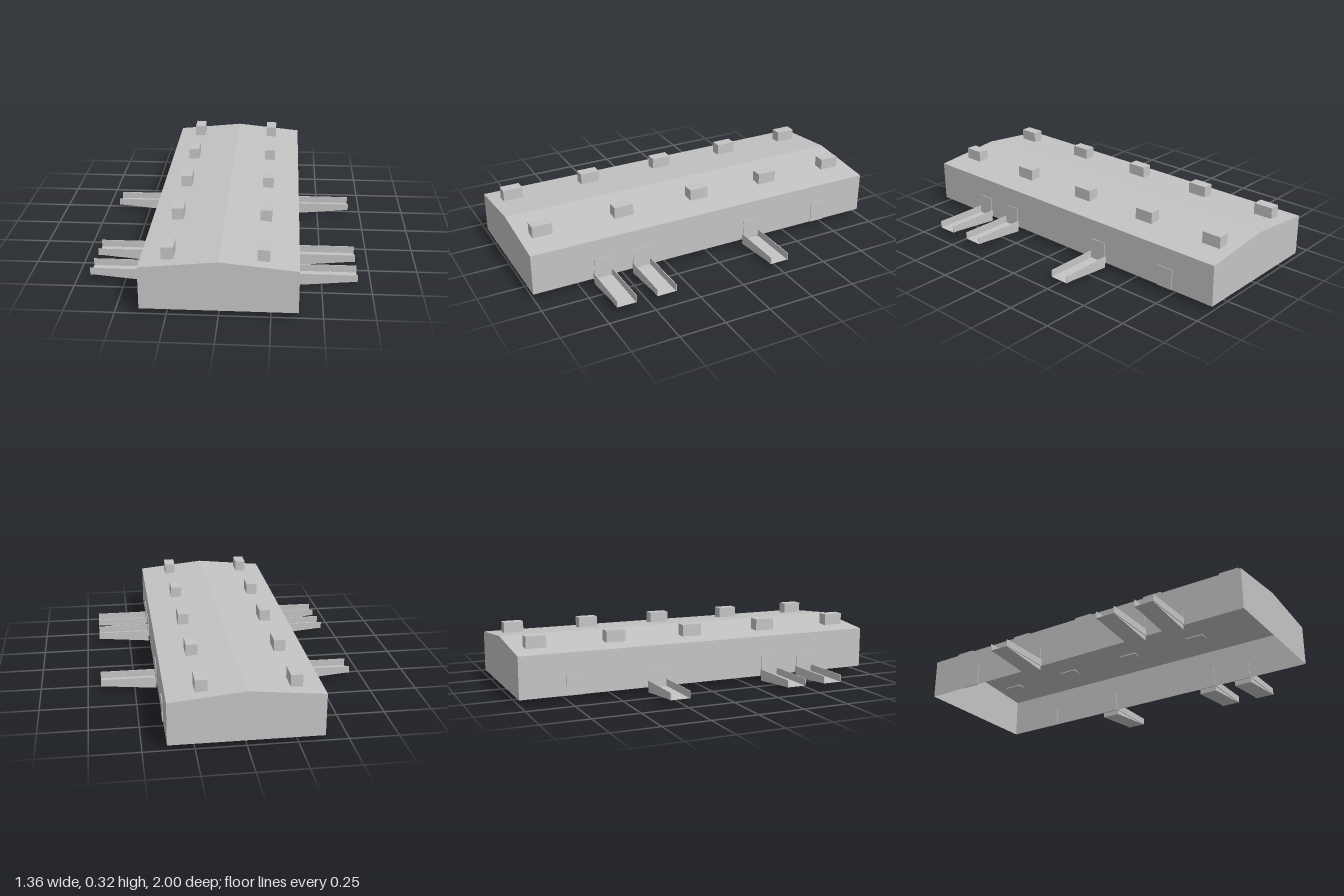
import * as THREE from 'three';

const HALF_W = 0.382, HALF_L = 1, BASE = 0.027, EAVE = 0.247, RIDGE = 0.285;

export function createModel() {
  const model = new THREE.Group();
  const grey = new THREE.MeshStandardMaterial({ color: 0xc4c4c4, side: THREE.DoubleSide });
  grey.name = 'light grey';

  const add = (parent, name, geometry, x = 0, y = 0, z = 0) => {
    const mesh = new THREE.Mesh(geometry, grey);
    mesh.name = name;
    mesh.position.set(x, y, z);
    parent.add(mesh);
    return mesh;
  };

  // Flat strip between two profile points, running the length of the hall
  const strip = ([x0, y0], [x1, y1]) => {
    const g = new THREE.BufferGeometry();
    g.setAttribute('position', new THREE.Float32BufferAttribute([
      x0, y0, HALF_L, x1, y1, HALF_L, x1, y1, -HALF_L, x0, y0, -HALF_L], 3));
    g.setIndex([0, 1, 2, 0, 2, 3]);
    g.computeVertexNormals();
    return g;
  };

  // Hollow hall, open underneath
  const profile = [[HALF_W, BASE], [HALF_W, EAVE], [0, RIDGE], [-HALF_W, EAVE], [-HALF_W, BASE]];
  const names = ['leftWall', 'leftRoof', 'rightRoof', 'rightWall'];
  names.forEach((name, i) => {
    // profile runs anticlockwise, so the strip is wound to face outward
    add(model, name, strip(profile[i + 1], profile[i]).toNonIndexed());
    const mesh = model.children[model.children.length - 1];
    const n = mesh.geometry.attributes.normal;
    const [a, b] = [profile[i], profile[i + 1]];
    const outward = n.getX(0) * (b[1] - a[1]) - n.getY(0) * (b[0] - a[0]);
    if (outward < 0) mesh.geometry = strip(a, b);
  });
  const gable = new THREE.ShapeGeometry(new THREE.Shape(profile.map(p => new THREE.Vector2(...p))));
  add(model, 'frontGable', gable, 0, 0, HALF_L);
  add(model, 'backGable', gable, 0, 0, -HALF_L).rotation.y = Math.PI;

  // Roof vents in two rows
  const vent = new THREE.BoxGeometry(0.06, 0.063, 0.107);
  for (const x of [-0.247, 0.211])
    for (const z of [-0.878, -0.451, -0.016, 0.432, 0.883])
      add(model, 'roofVent', vent, x, 0.2915, z);

  // Ramp: wedge under a level deck, with thin upright rails
  const wedgeShape = new THREE.Shape([
    new THREE.Vector2(0.385, 0), new THREE.Vector2(0.68, BASE), new THREE.Vector2(0.385, BASE)]);
  const wedge = new THREE.ExtrudeGeometry(wedgeShape, { depth: 0.1, bevelEnabled: false });
  wedge.translate(0, 0, -0.05);
  const rail = new THREE.BoxGeometry(0.295, 0.038, 0.004);
  const door = new THREE.BoxGeometry(0.008, 0.112, 0.09);

  // Doors and ramps mirrored on both long sides by half a turn
  for (const side of [1, -1]) {
    const group = new THREE.Group();
    group.name = side > 0 ? 'leftDocks' : 'rightDocks';
    if (side < 0) group.rotation.y = Math.PI;
    for (const z of [0.623, 0.403, -0.263]) {
      add(group, 'ramp', wedge, 0, 0, z * side);
      for (const s of [-1, 1])
        add(group, 'rampRail', rail, 0.5325, 0.046, z * side + s * 0.052);
    }
    for (const z of [0.623, 0.403, -0.263, -0.71])
      add(group, 'door', door, HALF_W, BASE + 0.056, z * side);
    model.add(group);
  }
  return model;
}
